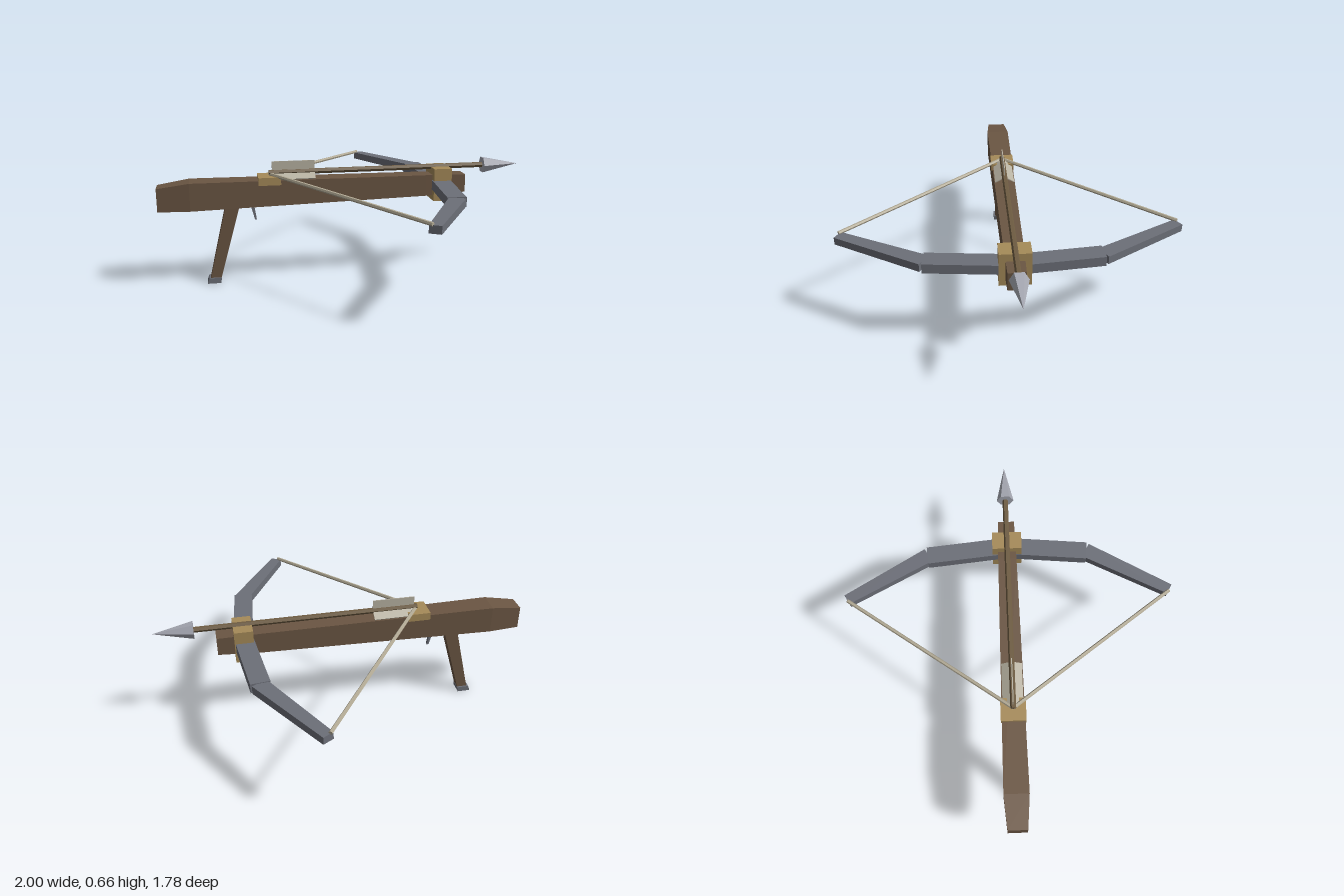
import * as THREE from 'three';

const mat = (name, color) => {
  const m = new THREE.MeshStandardMaterial({ color, side: THREE.DoubleSide, flatShading: true });
  m.name = name;
  return m;
};

export function createModel() {
  const wood = mat('stock wood', 0x6b5643);
  const boltWood = mat('bolt wood', 0x6e5c42);
  const brass = mat('brass', 0xa68b59);
  const steel = mat('dark steel', 0x6c6f78);
  const tipSteel = mat('bright steel', 0xa6a8b2);
  const cord = mat('cord', 0xb3ab96);
  const feather = mat('feather', 0xb9b3a3);

  const model = new THREE.Group();
  model.name = 'crossbow';
  const add = (name, geometry, material, x = 0, y = 0, z = 0) => {
    const mesh = new THREE.Mesh(geometry, material);
    mesh.name = name;
    mesh.position.set(x, y, z);
    model.add(mesh);
    return mesh;
  };

  // Closed solid through rings of four corners
  const loft = (rings) => {
    const pos = [];
    const quad = (a, b, c, d) => [a, b, c, a, c, d].forEach((p) => pos.push(...p));
    for (let i = 0; i < rings.length - 1; i++) {
      for (let j = 0; j < 4; j++) {
        const k = (j + 1) % 4;
        quad(rings[i][j], rings[i][k], rings[i + 1][k], rings[i + 1][j]);
      }
    }
    const end = rings[rings.length - 1];
    quad(rings[0][3], rings[0][2], rings[0][1], rings[0][0]);
    quad(end[0], end[1], end[2], end[3]);
    const g = new THREE.BufferGeometry();
    g.setAttribute('position', new THREE.Float32BufferAttribute(pos, 3));
    g.computeVertexNormals();
    return g;
  };

  // Stock: x, bottom, top, half width
  const stockRings = [
    [-1, 0.42, 0.545, 0.05], [-0.83, 0.42, 0.57, 0.064],
    [0.45, 0.445, 0.562, 0.05], [0.68, 0.458, 0.557, 0.045],
  ].map(([x, b, t, w]) => [[x, b, w], [x, b, -w], [x, t, -w], [x, t, w]]);
  add('stock', loft(stockRings), wood);

  // Slanted members lying in the x-y plane: y, left x, right x, half depth
  const slanted = (rows) => loft(rows.map(([y, x0, x1, w]) =>
    [[x0, y, w], [x1, y, w], [x1, y, -w], [x0, y, -w]]));
  add('grip', slanted([[0.02, -0.745, -0.688, 0.027], [0.44, -0.645, -0.57, 0.03]]), wood);
  add('gripCap', slanted([[0, -0.762, -0.69, 0.036], [0.03, -0.752, -0.684, 0.036]]), steel);
  add('trigger', slanted([[0.345, -0.492, -0.482, 0.009], [0.43, -0.515, -0.495, 0.009]]), steel);

  // Brass fittings
  add('bowBracket', new THREE.BoxGeometry(0.1, 0.18, 0.16), brass, 0.54, 0.51);
  add('stringCatch', new THREE.BoxGeometry(0.12, 0.042, 0.13), brass, -0.41, 0.564);

  // Bow limbs, tapered between two points in plan
  const limb = (x0, z0, w0, h0, x1, z1, w1, h1) => {
    const d = new THREE.Vector2(x1 - x0, z1 - z0).normalize();
    const ring = (x, z, w, h) => [[-1, -1], [1, -1], [1, 1], [-1, 1]].map(([s, v]) =>
      [x + d.y * s * w / 2, 0.507 + v * h / 2, z - d.x * s * w / 2]);
    return loft([ring(x0, z0, w0, h0), ring(x1, z1, w1, h1)]);
  };
  // Straight rod between two points
  const rod = (name, a, b, r, material) => {
    const dir = b.clone().sub(a);
    const mesh = add(name, new THREE.CylinderGeometry(r, r, dir.length(), 6), material);
    mesh.position.copy(a).add(b).multiplyScalar(0.5);
    mesh.quaternion.setFromUnitVectors(new THREE.Vector3(0, 1, 0), dir.normalize());
  };
  for (const [side, s] of [['left', 1], ['right', -1]]) {
    const inner = limb(0.542, 0, 0.1, 0.052, 0.498, 0.44, 0.1, 0.052);
    const outer = limb(0.503, 0.435, 0.086, 0.044, 0.25, 0.875, 0.06, 0.04);
    for (const [name, g] of [['InnerLimb', inner], ['OuterLimb', outer]]) {
      if (s < 0) {
        // Mirror across z and restore the face winding
        g.scale(1, 1, -1);
        const p = g.attributes.position;
        const a = new THREE.Vector3(), c = new THREE.Vector3();
        for (let i = 0; i < p.count; i += 3) {
          a.fromBufferAttribute(p, i);
          c.fromBufferAttribute(p, i + 2);
          p.setXYZ(i, c.x, c.y, c.z);
          p.setXYZ(i + 2, a.x, a.y, a.z);
        }
        g.computeVertexNormals();
      }
      add(side + name, g, steel);
    }
    rod(side + 'String', new THREE.Vector3(0.24, 0.531, 0.87 * s),
      new THREE.Vector3(-0.405, 0.592, 0), 0.01, cord);
  }

  // Bolt with six-sided head and three vanes
  rod('boltShaft', new THREE.Vector3(-0.41, 0.6, 0), new THREE.Vector3(0.8, 0.6, 0), 0.015, boltWood);
  const head = new THREE.ConeGeometry(0.047, 0.21, 6);
  head.rotateZ(-Math.PI / 2);
  add('boltHead', head, tipSteel, 0.895, 0.6);
  for (let i = 0; i < 3; i++) {
    const vane = new THREE.BoxGeometry(0.23, 0.06, 0.005);
    vane.translate(0, 0.03, 0);
    vane.rotateX(i * Math.PI * 2 / 3);
    add('vane' + (i + 1), vane, feather, -0.278, 0.6);
  }
  return model;
}
